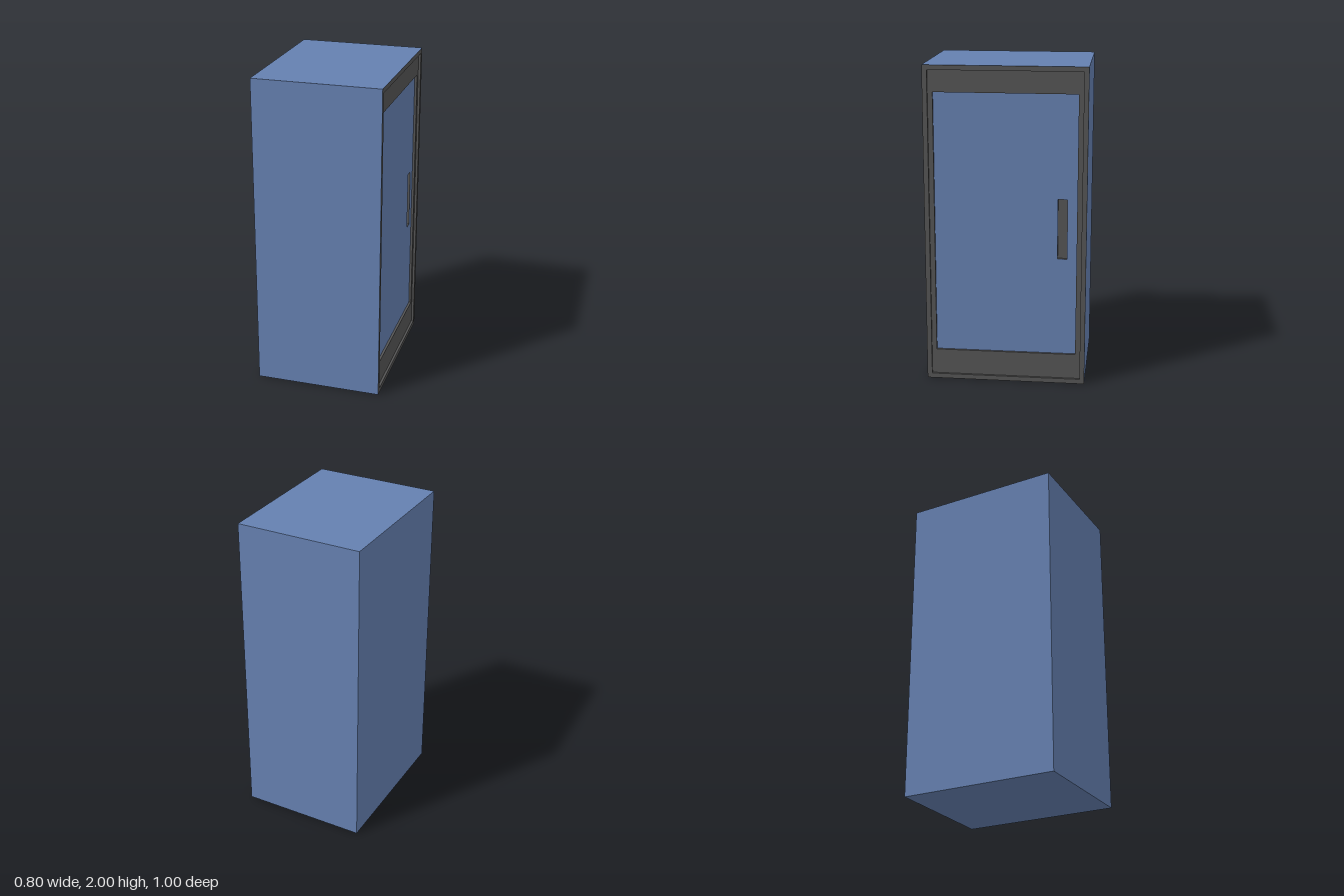
import * as THREE from 'three';

// Rectangle facing +x, corners anticlockwise as seen from +x
const rect = (x, zFront, zBack, y0, y1) => [
  [x, y0, zFront], [x, y0, zBack], [x, y1, zBack], [x, y1, zFront],
];

// Bands of flat faces joining successive rectangles, with optional end caps
function steppedMesh(name, material, rects, { startCap = false, endCap = false } = {}) {
  const points = [];
  const quad = (a, b, c, d) => points.push(...a, ...b, ...c, ...a, ...c, ...d);
  for (let k = 0; k < rects.length - 1; k++) {
    const a = rects[k], b = rects[k + 1];
    for (let i = 0; i < 4; i++) {
      const j = (i + 1) % 4;
      quad(a[i], a[j], b[j], b[i]);
    }
  }
  if (startCap) quad(...[...rects[0]].reverse());
  if (endCap) quad(...rects[rects.length - 1]);
  const geometry = new THREE.BufferGeometry();
  geometry.setAttribute('position', new THREE.Float32BufferAttribute(points, 3));
  geometry.computeVertexNormals();
  const mesh = new THREE.Mesh(geometry, material);
  mesh.name = name;
  return mesh;
}

export function createModel() {
  const group = new THREE.Group();
  group.name = 'cabinet';
  const blue = new THREE.MeshStandardMaterial({ color: 0x6580b0, flatShading: true });
  const dark = new THREE.MeshStandardMaterial({ color: 0x555555, flatShading: true });

  // Depths of the steps into the door side
  const face = 0.4, door = 0.385, panel = 0.37, pocket = 0.35;
  const outer = (x) => rect(x, 0.5, -0.5, 0, 2);
  const opening = (x) => rect(x, 0.47, -0.47, 0.03, 1.97);
  const panelEdge = (x) => rect(x, 0.44, -0.44, 0.19, 1.835);
  const grip = (x) => rect(x, -0.322, -0.38, 0.81, 1.188);

  group.add(
    // Plain body, open on the door side
    steppedMesh('body', blue, [outer(-face), outer(face)], { startCap: true }),
    // Narrow rim and its reveal
    steppedMesh('outerFrame', dark, [outer(face), opening(face), opening(door)]),
    // Recessed door border with deep top and bottom rails
    steppedMesh('doorFrame', dark, [opening(door), panelEdge(door), panelEdge(panel)]),
    // Door panel around the sunken grip
    steppedMesh('doorPanel', blue, [panelEdge(panel), grip(panel)]),
    steppedMesh('handlePocket', dark, [grip(panel), grip(pocket)], { endCap: true }),
  );
  return group;
}
